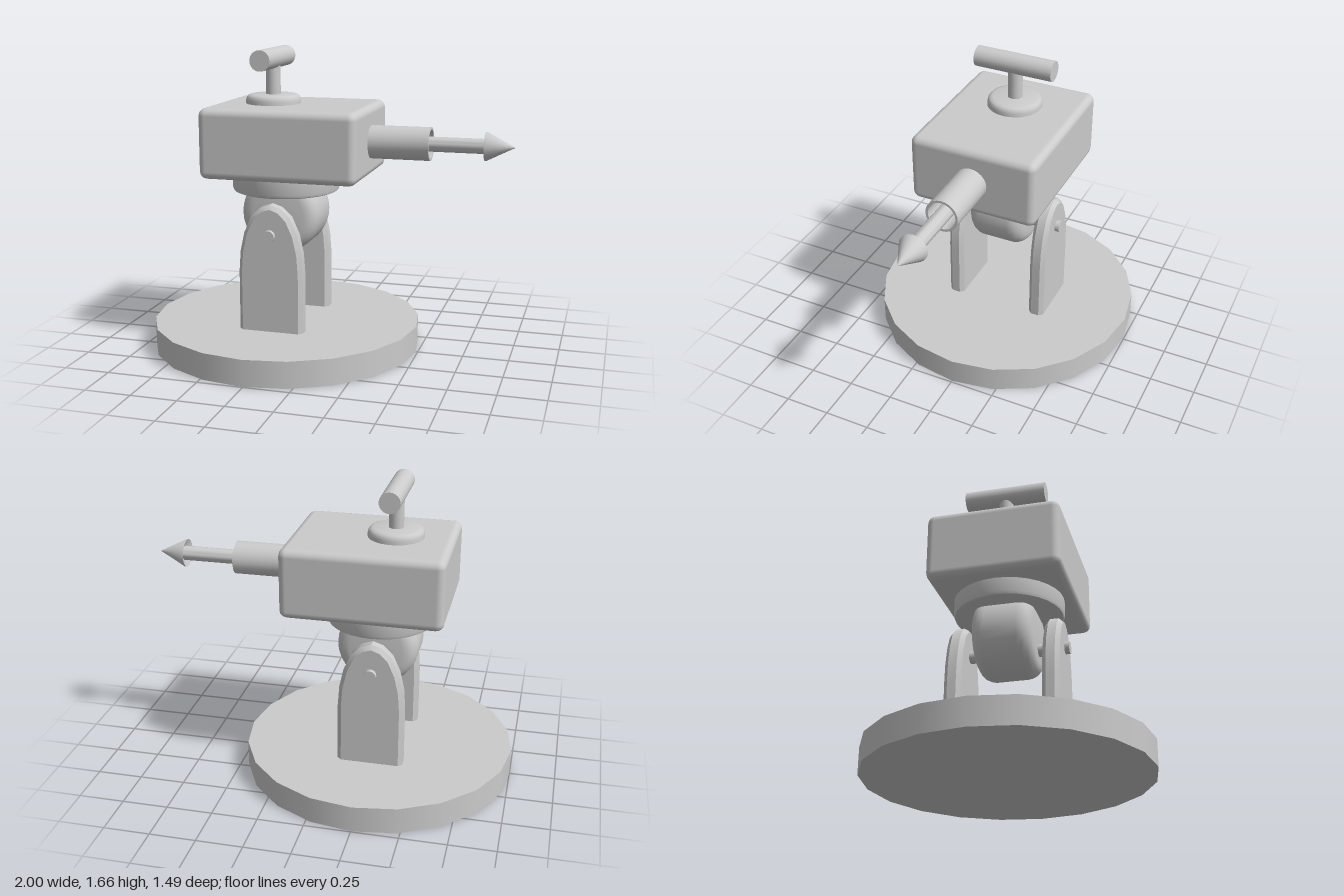
import * as THREE from 'three';
import { RoundedBoxGeometry } from 'three/addons/geometries/RoundedBoxGeometry.js';
import { toCreasedNormals } from 'three/addons/utils/BufferGeometryUtils.js';

const CX = -0.255; // axis of the stand
const KX = -0.325; // axis of the handle
const GY = 1.165;  // height of the barrel
const grey = new THREE.MeshStandardMaterial({ color: 0xcccccc });
const greyDouble = new THREE.MeshStandardMaterial({ color: 0xcccccc, side: THREE.DoubleSide });

export function createModel() {
  const model = new THREE.Group();
  model.name = 'swivelLauncher';

  const add = (name, geometry, x, y, z, material = grey) => {
    const mesh = new THREE.Mesh(geometry, material);
    mesh.name = name;
    mesh.position.set(x, y, z);
    model.add(mesh);
    return mesh;
  };
  const lathe = (points, sides, crease = 0.6) => toCreasedNormals(
    new THREE.LatheGeometry(points.map(([r, y]) => new THREE.Vector2(r, y)), sides), crease);

  // Round base plate
  add('base', new THREE.CylinderGeometry(0.745, 0.745, 0.145, 20), CX, 0.0725, 0);

  // Two bevelled uprights with pointed-arch tops
  const bevel = 0.022;
  const half = [[0.158, 0.13], [0.158, 0.47], [0.15, 0.58], [0.128, 0.68], [0.09, 0.765], [0.045, 0.808]];
  const outline = [...half, [0, 0.823], ...half.map(([x, y]) => [-x, y]).reverse()];
  const upright = toCreasedNormals(new THREE.ExtrudeGeometry(
    new THREE.Shape(outline.map(([x, y]) => new THREE.Vector2(x, y))),
    { depth: 0.046, bevelEnabled: true, bevelThickness: bevel, bevelSize: bevel, bevelSegments: 1 }), 0.5);
  upright.translate(0, 0, -0.023);
  for (const side of [1, -1]) {
    add(side > 0 ? 'frontUpright' : 'backUpright', upright, CX, 0, side * 0.255);
  }

  // Pivot pin through both uprights
  add('pivotPin', new THREE.CylinderGeometry(0.033, 0.033, 0.65, 16), CX, 0.68, 0).rotation.x = Math.PI / 2;

  // Pivot drum with a rounded rim, lying along z
  const drum = [[0, -0.16]];
  for (const side of [-1, 1]) {
    for (let i = 0; i <= 5; i++) {
      const a = (side < 0 ? i - 5 : i) / 5 * Math.PI / 2;
      drum.push([0.145 + 0.075 * Math.cos(a), side * 0.085 + 0.075 * Math.sin(a)]);
    }
  }
  drum.push([0, 0.16]);
  add('pivotDrum', lathe(drum, 32), CX, 0.762, 0).rotation.x = Math.PI / 2;

  // Turntable collar under the body
  add('collar', lathe([[0, 0.878], [0.275, 0.878], [0.289, 0.884], [0.295, 0.9], [0.295, 0.99], [0, 0.99]], 32),
    CX, 0, 0);

  // Box body with softened edges
  add('body', new RoundedBoxGeometry(0.862, 0.38, 0.71, 2, 0.042), -0.203, 1.166, 0);

  // Handle: rounded foot, stem and cross bar
  add('handleFoot', lathe([[0.15, 1.345], [0.15, 1.375], [0.146, 1.391], [0.137, 1.401], [0.12, 1.406], [0, 1.406]], 32),
    KX, 0, 0);
  add('handleStem', new THREE.CylinderGeometry(0.04, 0.04, 0.2, 20), KX, 1.48, 0);
  add('handleBar', new THREE.CylinderGeometry(0.056, 0.056, 0.444, 24), KX, 1.6, 0).rotation.x = Math.PI / 2;

  // Hollow barrel pointing to +x
  add('barrel', lathe([[0.09, 0.2], [0.09, 0.553], [0.077, 0.553], [0.077, 0.24], [0, 0.24]], 24),
    0, GY, 0, greyDouble).rotation.z = -Math.PI / 2;

  // Harpoon: shaft and barbed conical tip
  add('harpoon', lathe([[0, 0.22], [0.04, 0.22], [0.04, 0.855], [0.077, 0.84], [0.077, 0.846], [0, 0.997]], 24),
    0, GY, 0).rotation.z = -Math.PI / 2;

  return model;
}
